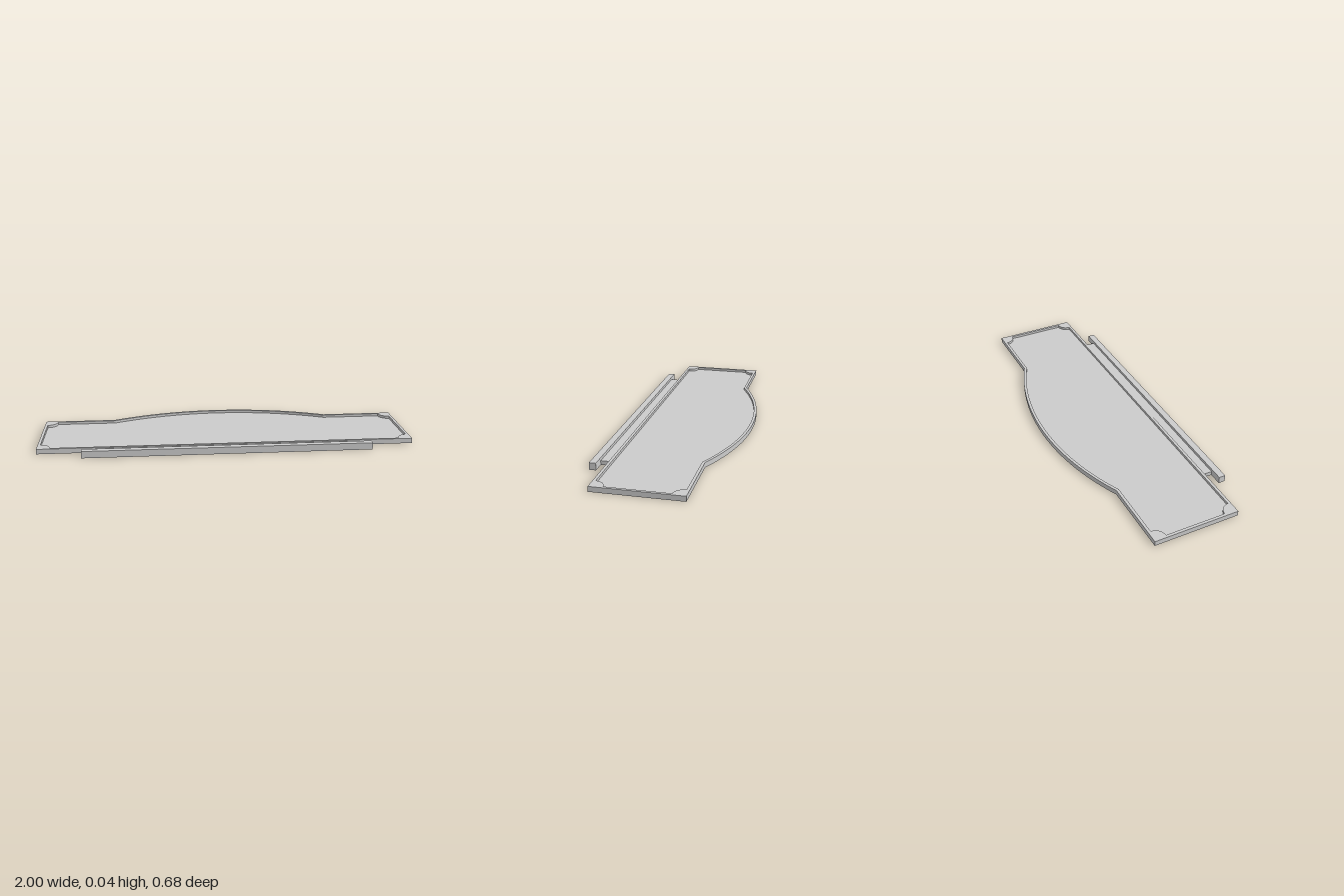
import * as THREE from 'three';

const material = new THREE.MeshStandardMaterial({ color: 0xcccccc, flatShading: true });
const sheetMaterial = new THREE.MeshStandardMaterial({ color: 0xcccccc, side: THREE.DoubleSide });

const ARCH_CENTER = -1.06; // shape y is -z
const BACK = 0.2, FRONT = -0.26, RADIUS = 1.4;

// Plaque outline drawn in plan, inset by a border, with scooped corners of radius scoop
function outline(Type, inset, scoop) {
  const x = 1 - inset, back = BACK - inset, front = FRONT + inset;
  const r = RADIUS - inset;
  const half = Math.acos((back - ARCH_CENTER) / r);
  const path = new Type();
  path.moveTo(-x + scoop, front);
  path.lineTo(x - scoop, front);
  if (scoop) path.absarc(x, front, scoop, Math.PI, Math.PI / 2, true);
  path.lineTo(x, back - scoop);
  if (scoop) path.absarc(x, back, scoop, Math.PI * 1.5, Math.PI, true);
  path.absarc(0, ARCH_CENTER, r, Math.PI / 2 - half, Math.PI / 2 + half, false);
  path.lineTo(-x + scoop, back);
  if (scoop) path.absarc(-x, back, scoop, 0, -Math.PI / 2, true);
  path.lineTo(-x, front + scoop);
  if (scoop) path.absarc(-x, front, scoop, Math.PI / 2, 0, true);
  path.closePath();
  return path;
}

function addMesh(group, name, geometry, mat = material) {
  const mesh = new THREE.Mesh(geometry, mat);
  mesh.name = name;
  group.add(mesh);
  return mesh;
}

function addBox(group, name, width, height, z0, z1) {
  const mesh = addMesh(group, name, new THREE.BoxGeometry(width, height, z1 - z0));
  mesh.position.set(0, height / 2, (z0 + z1) / 2);
}

export function createModel() {
  const group = new THREE.Group();
  group.name = 'archedPlaque';

  // Raised border with scooped inner corners
  const border = outline(THREE.Shape, 0, 0);
  border.holes.push(outline(THREE.Path, 0.015, 0.053));
  const frame = new THREE.ExtrudeGeometry(border, { depth: 0.027, bevelEnabled: false, curveSegments: 20 });
  addMesh(group, 'frame', frame.rotateX(-Math.PI / 2));

  // Thin recessed panel inside the border
  const sheet = new THREE.ShapeGeometry(outline(THREE.Shape, 0.015, 0.053), 20);
  const panel = addMesh(group, 'panel', sheet.rotateX(-Math.PI / 2), sheetMaterial);
  panel.position.y = 0.013;

  // Stepped rail along the front edge
  addBox(group, 'ledge', 1.385, 0.022, 0.26, 0.305);
  addBox(group, 'frontRail', 1.525, 0.037, 0.305, 0.34);

  return group;
}
